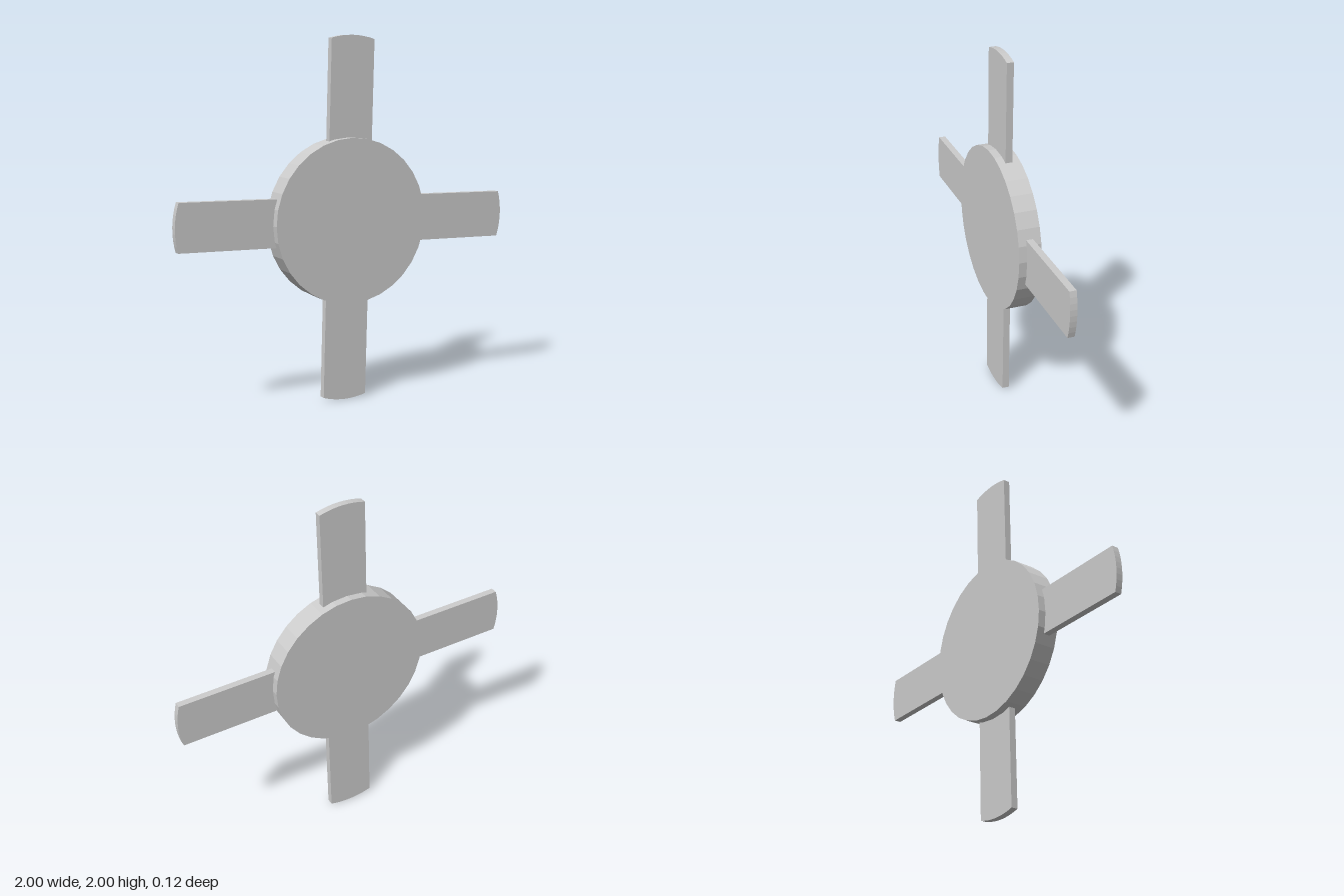
import * as THREE from 'three';

const HUB_RADIUS = 0.453, HUB_DEPTH = 0.125;
const BLADE_HALF = 0.13, BLADE_DEPTH = 0.038, TIP = 1.0;
const TILT = -0.0275; // slight clockwise turn of the whole rotor

export function createModel() {
  const model = new THREE.Group();
  model.name = 'rotor';
  model.position.y = 1;
  const material = new THREE.MeshStandardMaterial({ color: 0xcccccc, flatShading: true });

  // Round hub, its axis along z
  const hub = new THREE.Mesh(
    new THREE.CylinderGeometry(HUB_RADIUS, HUB_RADIUS, HUB_DEPTH, 32).rotateX(Math.PI / 2), material);
  hub.name = 'hub';
  model.add(hub);

  // Flat blade with a curved tip, its root sunk into the hub
  const half = Math.asin(BLADE_HALF / HUB_RADIUS);
  const shape = new THREE.Shape();
  shape.moveTo(-BLADE_HALF, 0.36);
  shape.lineTo(BLADE_HALF, 0.36);
  shape.absarc(0, TIP - HUB_RADIUS, HUB_RADIUS, Math.PI / 2 - half, Math.PI / 2 + half, false);
  shape.closePath();
  const bladeGeometry = new THREE.ExtrudeGeometry(shape, {
    depth: BLADE_DEPTH, bevelEnabled: false, curveSegments: 4,
  }).translate(0, 0, -BLADE_DEPTH / 2);

  // Four blades around the hub
  ['top', 'right', 'bottom', 'left'].forEach((side, i) => {
    const blade = new THREE.Mesh(bladeGeometry, material);
    blade.name = side + 'Blade';
    blade.rotation.z = TILT + i * Math.PI / 2;
    model.add(blade);
  });

  const root = new THREE.Group();
  root.add(model);
  return root;
}
